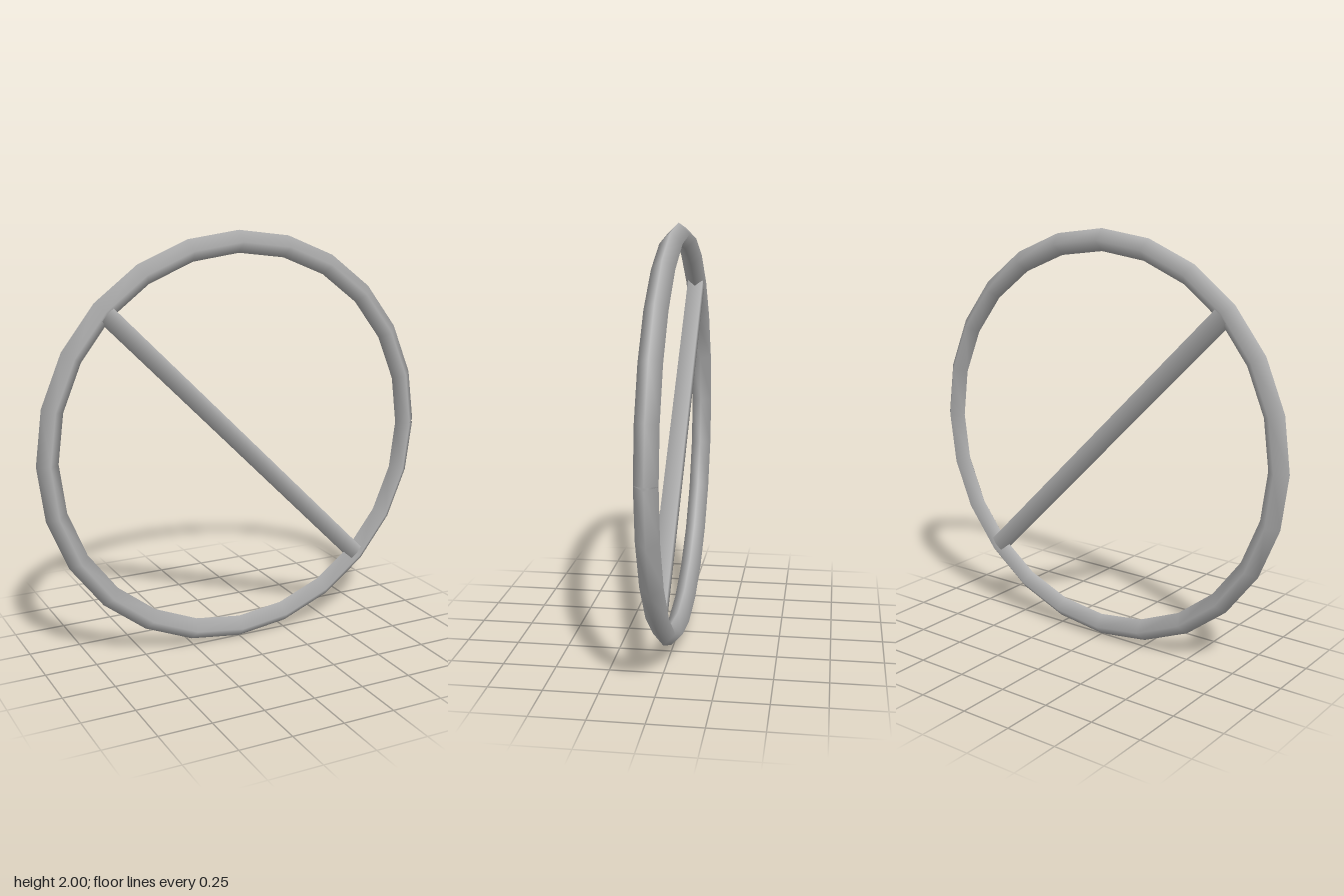
import * as THREE from 'three';

const RING_RADIUS = 0.947;
const TUBE_RADIUS = 0.052;
const SEGMENTS = 24;

// Four-sided smooth ring whose two open ends lean apart, leaving a thin outer slit
function ringGeometry() {
  const geometry = new THREE.TorusGeometry(RING_RADIUS, TUBE_RADIUS, 4, SEGMENTS);
  const position = geometry.attributes.position;
  const lean = Math.sin(Math.PI / SEGMENTS);
  const row = SEGMENTS + 1;
  for (let k = 0; k < position.count; k++) {
    const i = k % row;
    if (i !== 0 && i !== SEGMENTS) continue;
    const side = i === 0 ? 1 : -1;
    position.setY(k, side * lean * (position.getX(k) - RING_RADIUS));
  }
  return geometry;
}

// Square bar with smooth normals, laid along the diagonal
function barGeometry() {
  const geometry = new THREE.CylinderGeometry(0.054, 0.054, 2 * RING_RADIUS, 4);
  geometry.rotateY(Math.PI / 4);
  geometry.rotateZ(Math.PI / 4);
  return geometry;
}

export function createModel() {
  const model = new THREE.Group();
  model.name = 'barredRing';

  const grey = new THREE.MeshStandardMaterial({ color: 0xb2b2b2, side: THREE.DoubleSide });
  grey.name = 'grey';

  const parts = { ring: ringGeometry(), diagonalBar: barGeometry() };
  for (const [name, geometry] of Object.entries(parts)) {
    const mesh = new THREE.Mesh(geometry, grey);
    mesh.name = name;
    mesh.position.y = 1;
    model.add(mesh);
  }
  return model;
}
